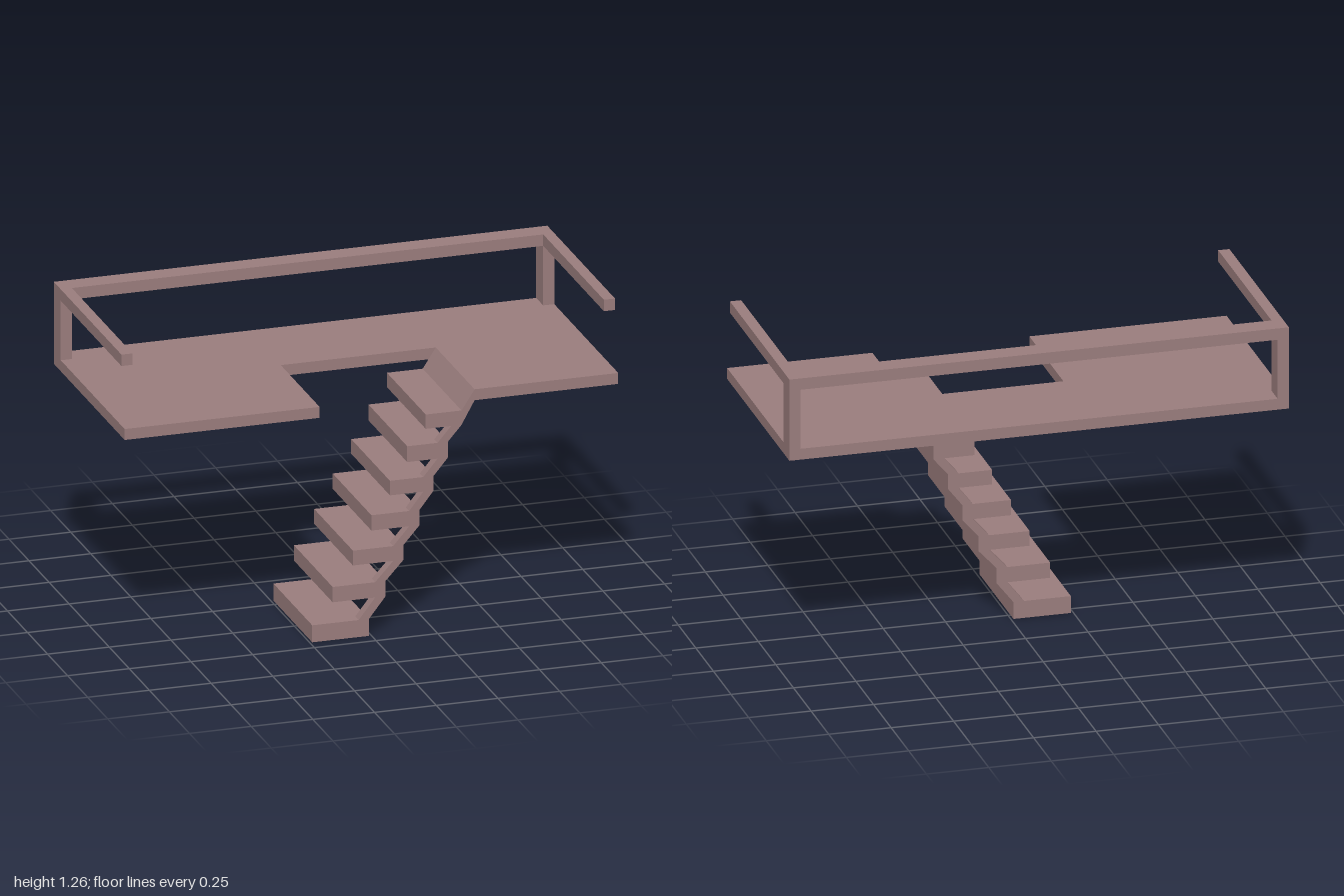
import * as THREE from 'three';

const material = new THREE.MeshStandardMaterial({ color: 0x9a7d7d, flatShading: true });

export function createModel() {
  const model = new THREE.Group();
  model.name = 'mezzanineWithStairs';

  const add = (name, geometry, parent = model) => {
    const mesh = new THREE.Mesh(geometry, material);
    mesh.name = name;
    parent.add(mesh);
    return mesh;
  };

  // box given by its low and high corners
  const box = (name, [x0, y0, z0], [x1, y1, z1], parent) =>
    add(name, new THREE.BoxGeometry(x1 - x0, y1 - y0, z1 - z0)
      .translate((x0 + x1) / 2, (y0 + y1) / 2, (z0 + z1) / 2), parent);

  // outline extruded by a depth along z
  const extrude = (points, depth) => new THREE.ExtrudeGeometry(
    new THREE.Shape(points.map(([x, y]) => new THREE.Vector2(x, y))),
    { depth, bevelEnabled: false });

  const Z = 0.442, deckBottom = 0.92, deckTop = 0.965;
  const stairBack = -0.042, notchLeft = -0.21, notchRight = 0.418;

  // floor with a stairwell notch open to the front
  add('platform', extrude([
    [-1, -Z], [1, -Z], [1, Z], [notchRight, Z], [notchRight, stairBack],
    [notchLeft, stairBack], [notchLeft, Z], [-1, Z],
  ], deckTop - deckBottom).rotateX(Math.PI / 2).translate(0, deckTop, 0));

  // railing: back bar, two corner posts, two side bars
  const railing = new THREE.Group();
  railing.name = 'railing';
  model.add(railing);
  const railBottom = 1.21, railTop = 1.257, inner = 0.955, postFront = -0.355;
  box('backRail', [-1, railBottom, -Z], [1, railTop, postFront], railing);
  for (const [side, x0, x1] of [['left', inner, 1], ['right', -1, -inner]]) {
    box(side + 'Post', [x0, deckTop, -Z], [x1, railBottom, postFront], railing);
    box(side + 'SideRail', [x0, railBottom, postFront], [x1, railTop, 0.402], railing);
  }

  // treads: [front x, back x, bottom y, top y]
  const treads = [
    [-0.24, -0.01, 0, 0.07], [-0.157, 0.057, 0.155, 0.218],
    [-0.075, 0.13, 0.297, 0.358], [0, 0.195, 0.432, 0.495],
    [0.075, 0.252, 0.568, 0.628], [0.145, 0.31, 0.697, 0.762],
    [0.22, 0.365, 0.825, 0.884],
  ];
  const stairs = new THREE.Group();
  stairs.name = 'stairs';
  model.add(stairs);
  const strut = 0.042;
  treads.forEach(([x0, x1, y0, y1], i) => {
    box('tread', [x0, y0, stairBack], [x1, y1, Z], stairs);
    const next = treads[i + 1];
    if (!next) return;
    // slanted struts joining this tread to the next at both ends
    const outline = [[x1 - strut, y1], [x1, y1], [next[1], next[2]], [next[1] - strut, next[2]]];
    for (const z of [stairBack, Z - strut])
      add('strut', extrude(outline, strut).translate(0, 0, z), stairs);
  });

  // sloped full-width plate joining the top tread to the platform
  const [, tx, ty0, ty1] = treads[treads.length - 1];
  add('topPlate', extrude(
    [[tx, ty0], [notchRight, deckBottom], [notchRight, deckTop], [tx, ty1]],
    Z - stairBack).translate(0, 0, stairBack), stairs);

  return model;
}
